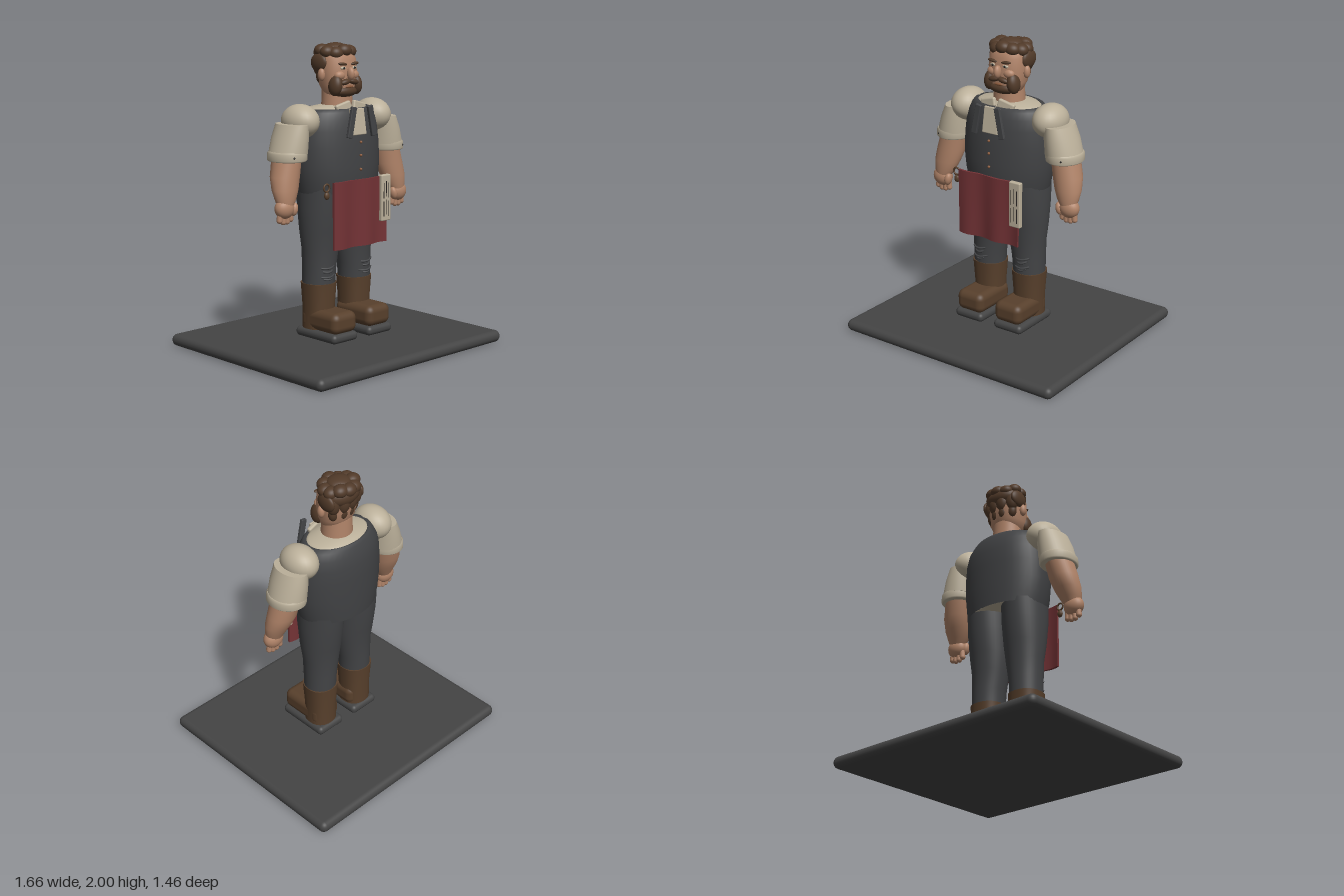
import * as THREE from 'three';
import { RoundedBoxGeometry } from 'three/addons/geometries/RoundedBoxGeometry.js';

const paint = (name, color) => {
  const m = new THREE.MeshStandardMaterial({ color });
  m.name = name;
  return m;
};

export function createModel() {
  const model = new THREE.Group();
  model.name = 'barkeeper';
  const stone = paint('stone grey', 0x444444);
  const charcoal = paint('charcoal cloth', 0x434446);
  const leather = paint('boot leather', 0x58402c);
  const hairBrown = paint('hair brown', 0x513a29);
  const skin = paint('skin', 0xb18469);
  const linen = paint('linen', 0xbbb09a);
  const red = paint('apron red', 0x743336);
  const copper = paint('copper', 0x8a5a3c);
  const dark = paint('dark seam', 0x2a2725);
  const shell = paint('vest cloth', 0x414244);
  shell.side = THREE.DoubleSide;

  const add = (name, geo, mat, x = 0, y = 0, z = 0, rx = 0, ry = 0, rz = 0) => {
    const mesh = new THREE.Mesh(geo, mat);
    mesh.name = name;
    mesh.position.set(x, y, z);
    mesh.rotation.set(rx, ry, rz);
    model.add(mesh);
    return mesh;
  };
  const box = (w, h, d, r) => new RoundedBoxGeometry(w, h, d, 4, r);
  const ball = (name, mat, x, y, z, a, b, c, tilt = 0) =>
    add(name, new THREE.SphereGeometry(1, 28, 20), mat, x, y, z, 0, 0, tilt).scale.set(a, b, c);

  // Smooth body through oval sections [y, x, z, rx, rz], listed from the bottom up
  const loft = (sections, { side = 1, caps = true, power = 1 } = {}) => {
    const n = 40, pos = [], idx = [];
    const bend = (v) => Math.sign(v) * Math.abs(v) ** power;
    const ring = ([y, x, z, rx, rz]) => {
      const start = pos.length / 3;
      for (let j = 0; j < n; j++) {
        const t = (j / n) * Math.PI * 2;
        pos.push(x * side + rx * bend(Math.cos(t)), y, z + rz * bend(Math.sin(t)));
      }
      return start;
    };
    const starts = sections.map(ring);
    for (let i = 0; i + 1 < starts.length; i++) {
      for (let j = 0; j < n; j++) {
        const k = (j + 1) % n, a = starts[i], b = starts[i + 1];
        idx.push(a + j, b + j, a + k, a + k, b + j, b + k);
      }
    }
    if (caps) {
      [sections[0], sections[sections.length - 1]].forEach((s, top) => {
        const r = ring(s), c = pos.length / 3;
        pos.push(s[1] * side, s[0], s[2]);
        for (let j = 0; j < n; j++) {
          const k = (j + 1) % n;
          idx.push(c, r + (top ? k : j), r + (top ? j : k));
        }
      });
    }
    const g = new THREE.BufferGeometry();
    g.setAttribute('position', new THREE.Float32BufferAttribute(pos, 3));
    g.setIndex(idx);
    g.computeVertexNormals();
    return g;
  };

  // Base slab
  add('base', box(1.66, 0.08, 1.46, 0.039), stone, 0, 0.042, 0);

  // Torso: linen shirt inside an open vest
  add('shirtBody', loft([[1.065, 0, 0, 0.28, 0.19], [1.4, 0, 0, 0.29, 0.18], [1.57, 0, -0.003, 0.232, 0.15]]), linen);
  add('shirtYoke', loft([[1.57, 0, -0.003, 0.235, 0.152], [1.592, 0, -0.003, 0.21, 0.135], [1.605, 0, 0, 0.1, 0.09]]), linen);
  add('vest', loft([
    [1.05, 0, 0, 0.295, 0.21], [1.12, 0, 0.002, 0.31, 0.216], [1.22, 0, 0.002, 0.322, 0.218], [1.35, 0, -0.002, 0.322, 0.214],
    [1.45, 0, -0.005, 0.312, 0.207], [1.52, 0, -0.004, 0.297, 0.193], [1.565, 0, -0.002, 0.268, 0.175],
    [1.587, 0, -0.002, 0.245, 0.163], [1.582, 0, -0.003, 0.225, 0.148]], { caps: false }), shell);
  add('shirtFront', box(0.12, 0.17, 0.02, 0.006), linen, 0, 1.503, 0.194, -0.16);
  for (const y of [1.375, 1.29, 1.2]) ball('vestButton', copper, 0, y, 0.223, 0.009, 0.009, 0.009);

  // Apron with soft vertical folds
  const cloth = new THREE.BoxGeometry(0.47, 0.435, 0.016, 36, 4, 1);
  const p = cloth.attributes.position;
  for (let i = 0; i < p.count; i++) {
    p.setZ(i, p.getZ(i) + 0.01 * Math.sin(p.getX(i) * 27) * (0.8 - p.getY(i)));
    p.setX(i, p.getX(i) * (1 + 0.02 * p.getY(i)));
  }
  cloth.computeVertexNormals();
  add('apron', cloth, red, -0.005, 0.918, 0.222);

  // Folded towel and hook at the apron edges
  add('towel', box(0.085, 0.305, 0.036, 0.008), linen, 0.213, 0.992, 0.227);
  for (let i = 0; i < 3; i++) {
    for (const y of [0.92, 1.04]) {
      add('towelCrease', new THREE.BoxGeometry(0.004, 0.1, 0.004), dark, 0.19 + i * 0.022, y + 0.012 * (i % 2), 0.245);
    }
  }
  add('hookRing', new THREE.TorusGeometry(0.024, 0.006, 10, 24), leather, -0.28, 1.105, 0.2);
  ball('hookPouch', leather, -0.278, 1.055, 0.2, 0.02, 0.025, 0.015);

  // Neck and head
  add('neck', loft([[1.56, 0, 0, 0.11, 0.1], [1.62, 0, 0, 0.103, 0.098], [1.72, 0, 0, 0.1, 0.095]]), skin);
  add('head', loft([
    [1.655, 0, 0.025, 0.07, 0.06], [1.675, 0, 0.02, 0.1, 0.085], [1.73, 0, 0.01, 0.122, 0.108], [1.81, 0, 0.002, 0.13, 0.116],
    [1.89, 0, -0.005, 0.13, 0.115], [1.94, 0, -0.01, 0.115, 0.1], [1.965, 0, -0.01, 0.07, 0.06]], { power: 0.88 }), skin);
  ball('nose', skin, 0, 1.805, 0.127, 0.023, 0.042, 0.03);
  ball('chinBeard', hairBrown, 0, 1.692, 0.072, 0.1, 0.04, 0.056);
  ball('lip', copper, 0, 1.722, 0.117, 0.032, 0.009, 0.008);

  // Hair: a cap with rounded locks over the crown, sides and nape
  ball('hairCap', hairBrown, 0, 1.9, -0.03, 0.138, 0.085, 0.11);
  ball('crownLock', hairBrown, 0, 1.963, -0.015, 0.08, 0.037, 0.075);
  for (let i = 0; i < 10; i++) {
    const t = (i / 10) * Math.PI * 2 + 0.3;
    ball('hairLock', hairBrown, 0.096 * Math.cos(t), 1.935 + 0.008 * (i % 3), -0.018 + 0.084 * Math.sin(t), 0.053, 0.042, 0.047);
  }
  for (const x of [-0.09, -0.03, 0.03, 0.09]) {
    const z = -0.1 + Math.abs(x) * 0.4;
    ball('backLock', hairBrown, x, 1.86, z, 0.048, 0.075, 0.042);
    ball('napeLock', hairBrown, x * 0.95, 1.79, z + 0.008, 0.036, 0.055, 0.032);
  }

  for (const s of [1, -1]) {
    // Face details
    ball('ear', skin, s * 0.135, 1.8, 0, 0.023, 0.042, 0.025);
    ball('cheek', skin, s * 0.06, 1.795, 0.088, 0.042, 0.032, 0.032);
    ball('sideHair', hairBrown, s * 0.125, 1.875, -0.035, 0.028, 0.06, 0.07);
    ball('sideburn', hairBrown, s * 0.088, 1.733, 0.078, 0.04, 0.068, 0.052, s * 0.12);
    ball('moustache', hairBrown, s * 0.035, 1.754, 0.115, 0.042, 0.019, 0.024, s * -0.2);
    ball('eye', linen, s * 0.048, 1.842, 0.108, 0.022, 0.01, 0.01);
    ball('pupil', dark, s * 0.048, 1.842, 0.117, 0.008, 0.008, 0.004);
    ball('eyebrow', hairBrown, s * 0.052, 1.868, 0.108, 0.037, 0.01, 0.015, s * 0.1);

    // Collar wing and loose necktie ribbon
    add('collarWing', box(0.12, 0.06, 0.03, 0.012), linen, s * 0.068, 1.595, 0.13, -0.1, s * 0.12, s * -0.25);
    add('neckRibbon', box(0.042, 0.2, 0.022, 0.005), charcoal, s * 0.09, 1.507, 0.23, 0, 0, s * 0.2);

    // Sleeve
    ball('shoulderPuff', linen, s * 0.322, 1.515, 0.002, 0.11, 0.11, 0.138);
    add('sleeve', loft([[1.32, 0.428, 0.003, 0.118, 0.134], [1.42, 0.41, 0.003, 0.104, 0.136],
      [1.505, 0.392, 0.003, 0.083, 0.128]], { side: s }), linen);
    add('cuff', loft([[1.275, 0.436, 0.003, 0.112, 0.128], [1.283, 0.436, 0.003, 0.12, 0.136],
      [1.325, 0.434, 0.003, 0.12, 0.137], [1.336, 0.432, 0.003, 0.112, 0.13]], { side: s }), linen);
    ball('cuffButton', dark, s * 0.485, 1.305, 0.126, 0.007, 0.007, 0.006);

    // Forearm and hand
    add('forearm', loft([[1.0, 0.5, 0.057, 0.055, 0.048], [1.04, 0.493, 0.05, 0.074, 0.06], [1.1, 0.483, 0.035, 0.091, 0.077],
      [1.18, 0.466, 0.015, 0.098, 0.092], [1.3, 0.44, 0.003, 0.092, 0.1]], { side: s }), skin);
    ball('palm', skin, s * 0.508, 0.985, 0.058, 0.071, 0.066, 0.053);
    for (let i = 0; i < 4; i++) {
      add('finger', new THREE.CapsuleGeometry(0.019, 0.05, 6, 14), skin,
        s * (0.46 + i * 0.029), 0.928 + (i % 3 ? -0.004 : 0.008), 0.056, 0, 0, s * (i - 1.5) * 0.06);
    }
    ball('thumb', skin, s * 0.449, 0.977, 0.08, 0.025, 0.043, 0.028, s * 0.2);

    // Trouser leg with creases at the knee
    add('trouserLeg', loft([[0.44, 0.16, -0.004, 0.108, 0.107], [0.55, 0.157, -0.003, 0.112, 0.111], [0.68, 0.148, -0.002, 0.127, 0.116],
      [0.8, 0.148, 0, 0.141, 0.135], [0.95, 0.148, 0, 0.147, 0.157], [1.08, 0.148, 0, 0.145, 0.168]], { side: s }), charcoal);
    for (const [y, w] of [[0.56, 0.055], [0.535, 0.04], [0.5, 0.055], [0.485, 0.035]]) {
      const fold = new THREE.QuadraticBezierCurve3(new THREE.Vector3(-w, y, 0.09),
        new THREE.Vector3(0, y - 0.01, 0.135), new THREE.Vector3(w, y + 0.012, 0.09));
      add('kneeCrease', new THREE.TubeGeometry(fold, 14, 0.007, 8), charcoal, s * 0.168);
    }

    // Boot
    add('bootShaft', loft([[0.15, 0.16, -0.005, 0.1, 0.1], [0.3, 0.16, -0.005, 0.1, 0.102],
      [0.452, 0.16, -0.005, 0.112, 0.111]], { side: s, power: 0.85 }), leather);
    add('bootToe', box(0.21, 0.14, 0.335, 0.048), leather, s * 0.154, 0.215, 0.088);
    add('bootSole', box(0.222, 0.062, 0.375, 0.029), stone, s * 0.158, 0.12, 0.069);
  }
  return model;
}
